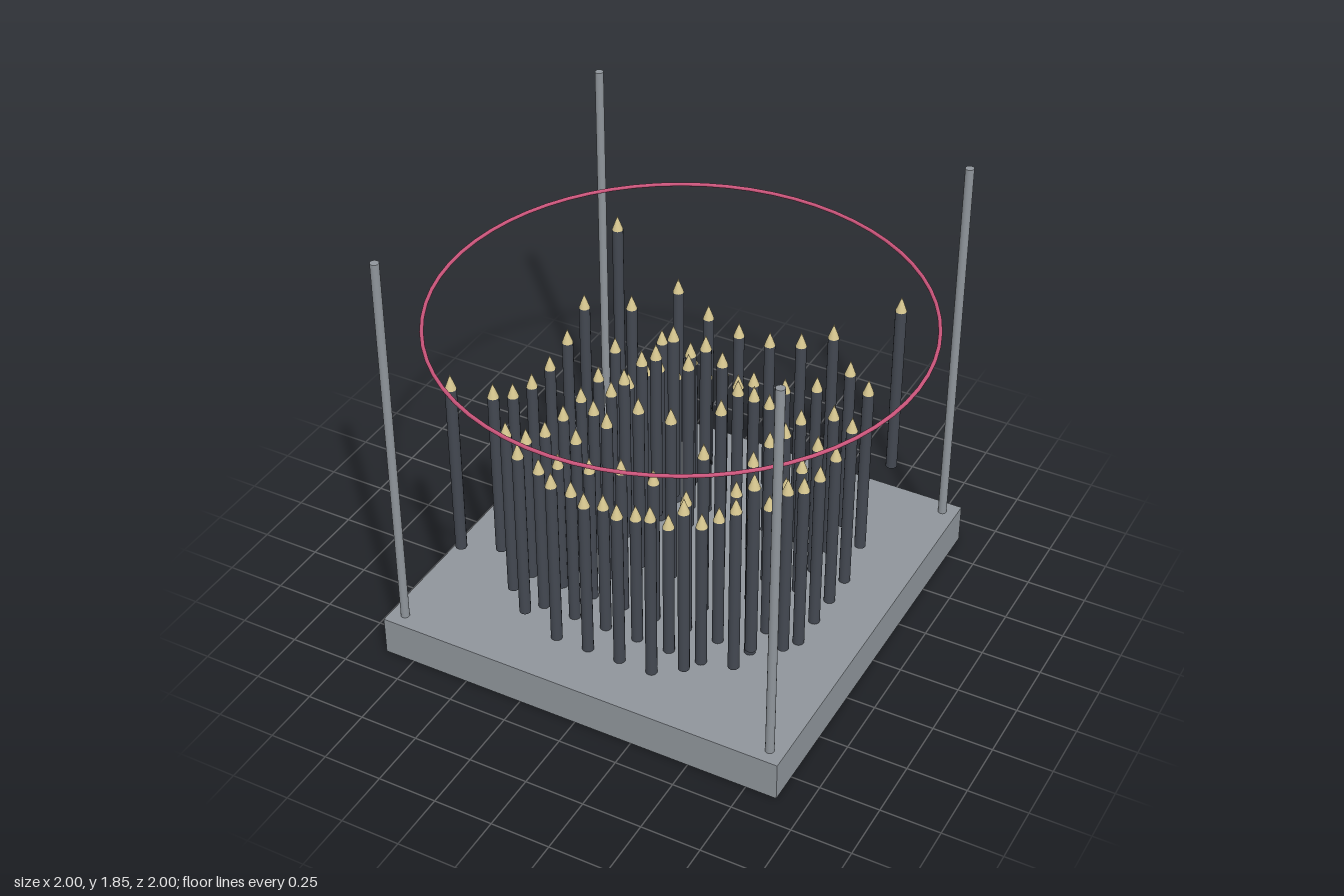
import * as THREE from 'three';

export function createModel() {
  const model = new THREE.Group();
  model.name = 'rippleSculpture';

  const mat = (name, color) => {
    const m = new THREE.MeshStandardMaterial({ color });
    m.name = name;
    return m;
  };
  const grey = mat('steel grey', 0x8f959b);
  const dark = mat('charcoal', 0x434851);
  const tan = mat('pale wood', 0xd6c68f);
  const pink = mat('rose', 0xc9547a);

  const add = (parent, name, geometry, material, x, y, z) => {
    const mesh = new THREE.Mesh(geometry, material);
    mesh.name = name;
    mesh.position.set(x, y, z);
    parent.add(mesh);
    return mesh;
  };

  // Square base slab
  const baseTop = 0.17;
  add(model, 'base', new THREE.BoxGeometry(1.76, baseTop, 1.76), grey, 0, baseTop / 2, 0);

  // Four corner posts
  const postTop = 1.85;
  const postGeo = new THREE.CylinderGeometry(0.018, 0.018, postTop - baseTop, 16);
  for (const x of [-0.818, 0.818]) {
    for (const z of [-0.818, 0.818]) {
      add(model, 'cornerPost', postGeo, grey, x, (postTop + baseTop) / 2, z);
    }
  }

  // Thin hoop around the posts
  const hoop = add(model, 'hoop', new THREE.TorusGeometry(0.992, 0.008, 10, 64), pink, 0, 1.385, 0);
  hoop.rotation.x = Math.PI / 2;

  // Pointed rods on a 10 x 10 grid, raised and lowered by a circular ripple
  const step = 0.143, length = 0.835, tipHeight = 0.066, radius = 0.0235;
  const shaftLength = length - tipHeight;
  const shaftGeo = new THREE.CylinderGeometry(radius, radius, shaftLength, 14);
  const tipGeo = new THREE.ConeGeometry(radius, tipHeight, 14);
  const rippleHeight = (r) => 1.0885 + 0.2445 * Math.cos((2 * Math.PI * r) / 0.985);

  for (let i = -4.5; i <= 4.5; i++) {
    for (let j = -4.5; j <= 4.5; j++) {
      // The places next to each corner are left empty
      if (Math.abs(i) + Math.abs(j) === 8) continue;
      const x = i * step, z = j * step;
      const rod = new THREE.Group();
      rod.name = 'rod';
      rod.position.set(x, rippleHeight(Math.hypot(x, z)) - length, z);
      add(rod, 'rodShaft', shaftGeo, dark, 0, shaftLength / 2, 0);
      add(rod, 'rodTip', tipGeo, tan, 0, shaftLength + tipHeight / 2, 0);
      model.add(rod);
    }
  }

  return model;
}
